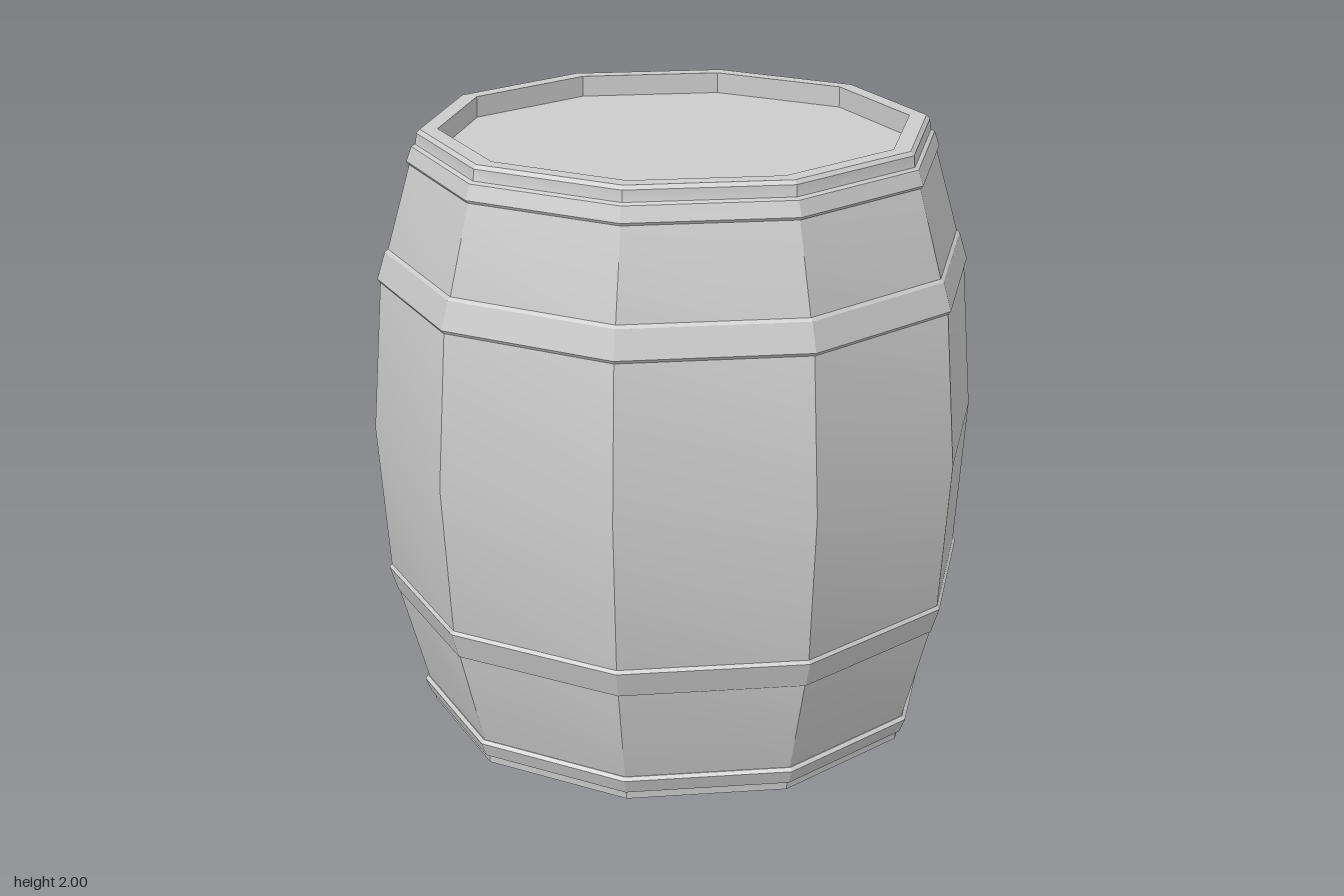
import * as THREE from 'three';
import { toCreasedNormals } from 'three/addons/utils/BufferGeometryUtils.js';

const SIDES = 10;
const CREASE = THREE.MathUtils.degToRad(22);

// Ten-sided turned part; profile is [radius, height] running upwards on the outside.
function turned(name, profile, material) {
  const points = profile.map(([r, y]) => new THREE.Vector2(r, y));
  const geometry = toCreasedNormals(new THREE.LatheGeometry(points, SIDES), CREASE);
  const mesh = new THREE.Mesh(geometry, material);
  mesh.name = name;
  return mesh;
}

export function createModel() {
  const group = new THREE.Group();
  group.name = 'barrel';
  const material = new THREE.MeshStandardMaterial({ color: 0xcccccc });

  // Bulging body with a recessed head at both ends
  group.add(turned('body', [
    [0, 0.07], [0.763, 0.07], [0.763, 0], [0.832, 0], [0.834, 0.03],
    [0.856, 0.1], [0.963, 0.49], [1, 1], [0.963, 1.51],
    [0.856, 1.89], [0.834, 1.96], [0.832, 1.988], [0.82, 2],
    [0.763, 2], [0.763, 1.93], [0, 1.93],
  ], material));

  // Hoops follow the slope of the staves; each has a narrow bevel on its upper edge
  const hoops = [
    ['bottomHoop', [[0.82, 0.025], [0.847, 0.03], [0.866, 0.078], [0.855, 0.088], [0.83, 0.088]]],
    ['lowerHoop', [[0.92, 0.41], [0.946, 0.415], [0.973, 0.5], [0.962, 0.514], [0.94, 0.514]]],
    ['upperHoop', [[0.94, 1.5], [0.966, 1.5], [0.973, 1.51], [0.946, 1.6], [0.932, 1.612], [0.91, 1.612]]],
    ['topHoop', [[0.83, 1.888], [0.86, 1.888], [0.866, 1.897], [0.849, 1.945], [0.835, 1.953], [0.82, 1.953]]],
  ];
  for (const [name, profile] of hoops) group.add(turned(name, profile, material));

  return group;
}
